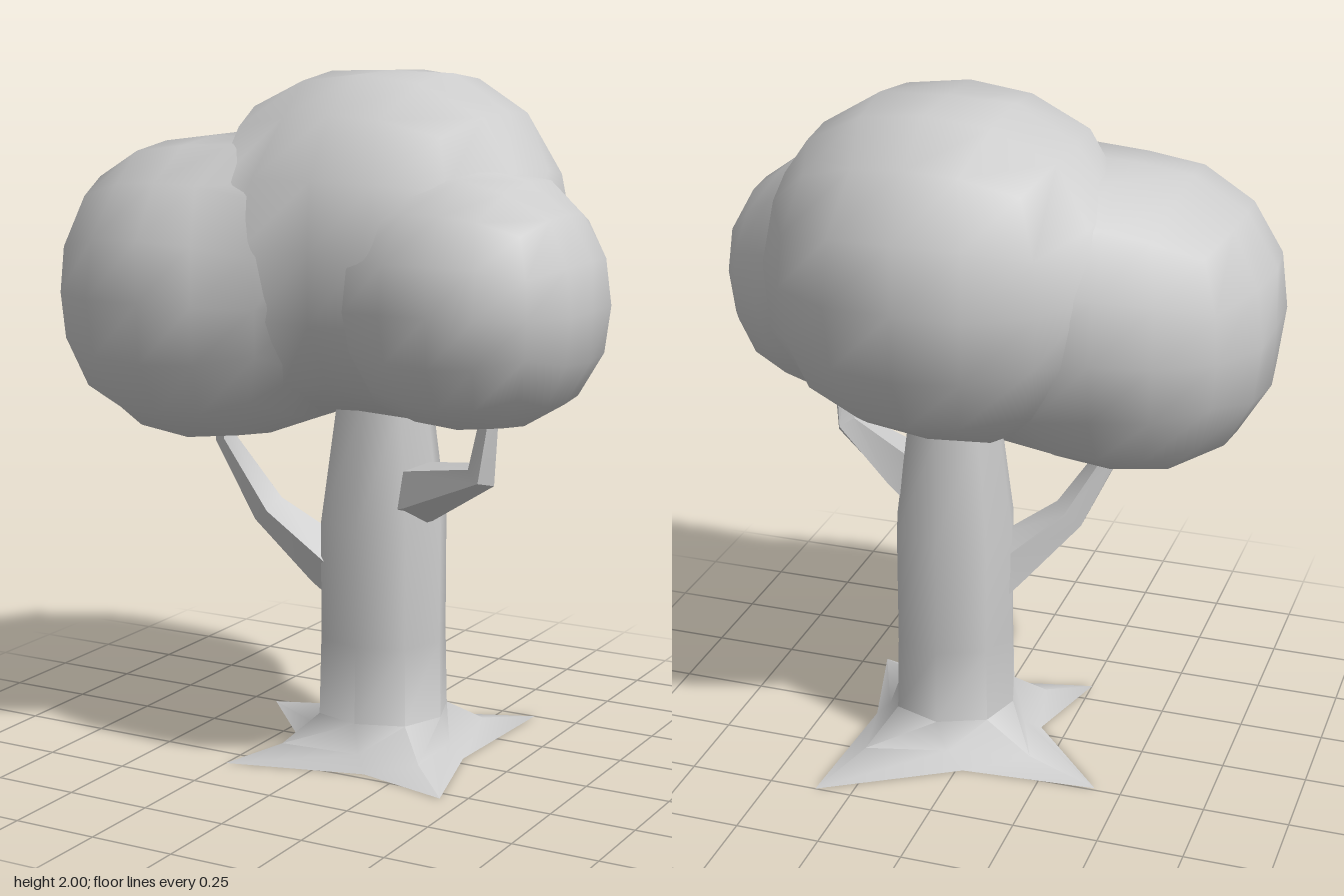
import * as THREE from 'three';
import { toCreasedNormals } from 'three/addons/utils/BufferGeometryUtils.js';

const material = new THREE.MeshStandardMaterial({ color: 0xcccccc });
const V = (x, y, z) => new THREE.Vector3(x, y, z);

// Skin a list of equal-length rings and close both ends with fans
function loft(rings, crease) {
  const n = rings[0].length, points = rings.flat(), index = [];
  const last = rings.length - 1;
  for (let i = 0; i < last; i++) {
    for (let j = 0; j < n; j++) {
      const a = i * n + j, b = i * n + (j + 1) % n;
      index.push(a, a + n, b, b, a + n, b + n);
    }
  }
  for (const k of [0, last]) {
    const centre = V(0, 0, 0);
    rings[k].forEach((p) => centre.addScaledVector(p, 1 / n));
    const c = points.push(centre) - 1;
    for (let j = 0; j < n; j++) {
      const a = k * n + j, b = k * n + (j + 1) % n;
      if (k === 0) index.push(c, a, b);
      else index.push(c, b, a);
    }
  }
  const geometry = new THREE.BufferGeometry().setFromPoints(points);
  geometry.setIndex(index);
  return toCreasedNormals(geometry, crease);
}

// Trunk: eight-sided column whose base spreads into four pointed roots
function trunkGeometry() {
  const roots = [[0.43, 0.29], [0.15, 0.22], [-0.25, 0.33], [-0.17, 0.04],
    [-0.42, -0.24], [-0.02, -0.27], [0.36, -0.5], [0.34, -0.04]];
  const column = [[0.22, 0.1], [0.08, 0.15], [-0.06, 0.11], [-0.1, -0.03],
    [-0.06, -0.16], [0.08, -0.22], [0.22, -0.17], [0.27, -0.03]];
  const flare = (y, t) => column.map(([x, z], i) =>
    V(THREE.MathUtils.lerp(x, roots[i][0], t), y, THREE.MathUtils.lerp(z, roots[i][1], t)));
  const taper = (y, s) => column.map(([x, z]) =>
    V(0.085 + (x - 0.085) * s, y, -0.03 + (z + 0.03) * s));
  return loft([flare(0, 1), flare(0.04, 0.4), flare(0.12, 0),
    taper(0.35, 0.97), taper(0.7, 0.97), taper(1.05, 0.73), taper(1.25, 0.65)], 1);
}

// Branch: five-sided limb through points given as [x, y, z, radius]
function branchGeometry(path) {
  const pts = path.map(([x, y, z]) => V(x, y, z));
  const rings = pts.map((p, i) => {
    const t = V(0, 0, 0);
    if (i > 0) t.add(p.clone().sub(pts[i - 1]).normalize());
    if (i < pts.length - 1) t.add(pts[i + 1].clone().sub(p).normalize());
    t.normalize();
    const u = t.clone().cross(V(0, 0, 1)).normalize();
    const v = u.clone().cross(t);
    return Array.from({ length: 5 }, (_, k) => {
      const a = (k / 5) * Math.PI * 2, r = path[i][3];
      return p.clone().addScaledVector(u, r * Math.cos(a)).addScaledVector(v, r * Math.sin(a));
    });
  });
  return loft(rings, 0.7);
}

// Foliage clumps
const clumps = [
  { name: 'mainFoliage', centre: V(0.09, 1.525, -0.05), radius: 0.495 },
  { name: 'rightFoliage', centre: V(-0.395, 1.37, 0.115), radius: 0.442 },
  { name: 'leftFoliage', centre: V(0.48, 1.385, 0.165), radius: 0.345 },
];

// Puffy cube between a box and a ball; it swells and shades softly into nearby clumps
function foliageGeometry(clump) {
  const { centre, radius } = clump;
  const geometry = new THREE.BoxGeometry(2, 2, 2, 4, 4, 4);
  const position = geometry.attributes.position, normal = geometry.attributes.normal;
  const bulge = (c) => Math.tan(c * Math.PI / 4);
  const power = (c) => Math.abs(c) ** 2.3;
  const reach = 0.2;
  const p = V(0, 0, 0);
  for (let i = 0; i < position.count; i++) {
    p.fromBufferAttribute(position, i);
    p.set(bulge(p.x), bulge(p.y), bulge(p.z));
    p.divideScalar((power(p.x) + power(p.y) + power(p.z)) ** (1 / 2.3));
    p.clampScalar(-0.958, 0.958).multiplyScalar(radius).add(centre);
    const blended = V(0, 0, 0);
    let swell = 0;
    for (const c of clumps) {
      const away = p.clone().sub(c.centre);
      const distance = c === clump ? 0 : away.length() - c.radius;
      if (c !== clump) swell += Math.max(0, reach - Math.abs(distance)) ** 2 / (4 * reach);
      blended.addScaledVector(away.normalize(), Math.exp(-12 * Math.max(distance, -0.03)));
    }
    blended.normalize();
    p.addScaledVector(blended, swell);
    position.setXYZ(i, p.x, p.y, p.z);
    normal.setXYZ(i, blended.x, blended.y, blended.z);
  }
  return geometry;
}

function addMesh(group, name, geometry) {
  const mesh = new THREE.Mesh(geometry, material);
  mesh.name = name;
  group.add(mesh);
}

export function createModel() {
  const tree = new THREE.Group();
  tree.name = 'tree';
  addMesh(tree, 'trunk', trunkGeometry());
  addMesh(tree, 'rightBranch', branchGeometry([
    [0.0, 0.51, -0.01, 0.095], [-0.07, 0.57, 0.03, 0.085], [-0.24, 0.72, 0.09, 0.055],
    [-0.355, 0.93, 0.14, 0.033], [-0.37, 1.08, 0.14, 0.028]]));
  addMesh(tree, 'leftBranch', branchGeometry([
    [0.12, 0.77, -0.03, 0.1], [0.24, 0.81, 0.03, 0.09], [0.475, 0.9, 0.13, 0.045],
    [0.5, 1.07, 0.14, 0.027], [0.505, 1.15, 0.14, 0.025]]));
  for (const clump of clumps) addMesh(tree, clump.name, foliageGeometry(clump));
  return tree;
}
